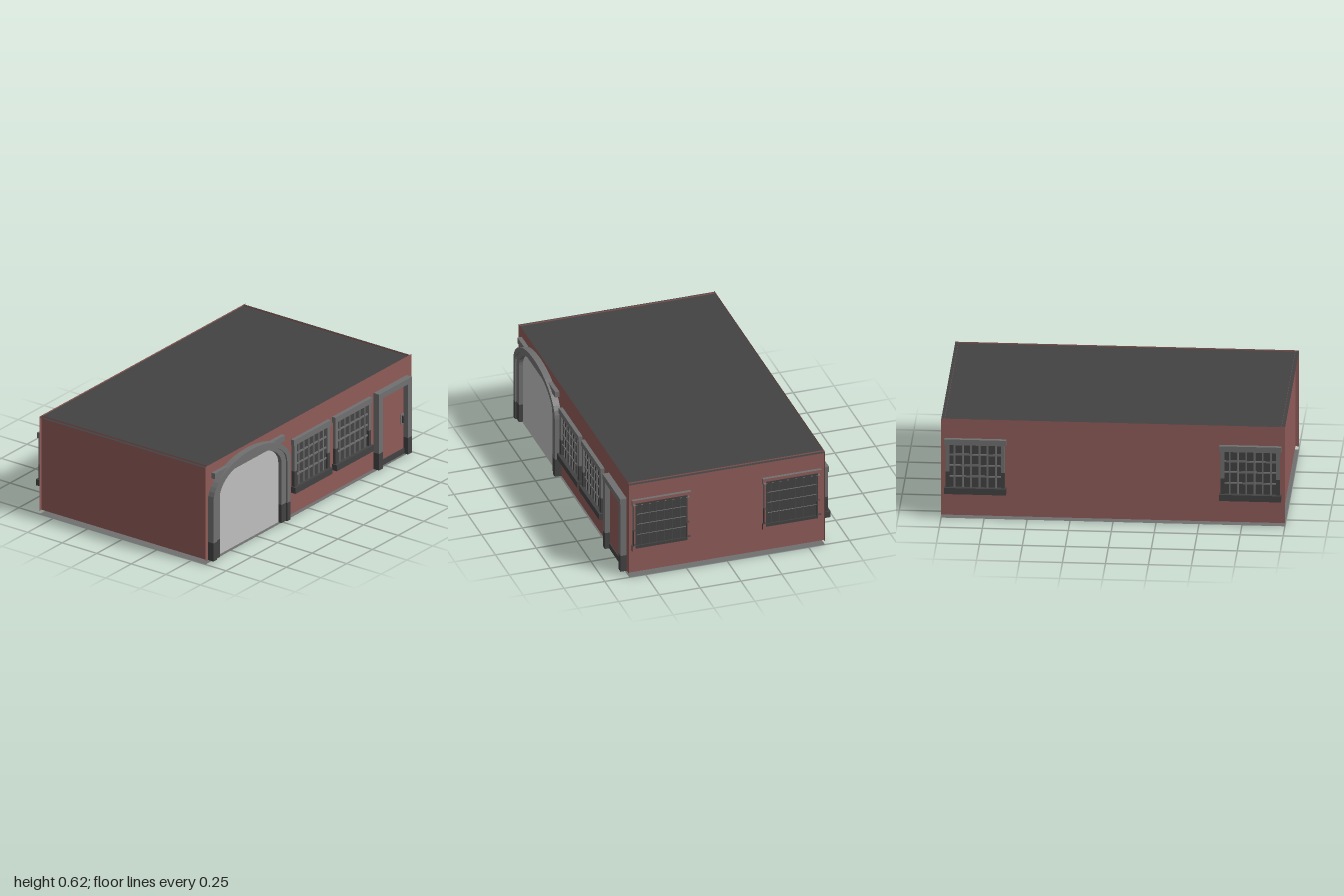
import * as THREE from 'three';

const mat = (name, color) => {
  const m = new THREE.MeshStandardMaterial({ color });
  m.name = name;
  return m;
};

export function createModel() {
  const brick = mat('brick', 0x8f5b58);
  const dark = mat('charcoal', 0x424242);
  const grey = mat('trim grey', 0x707070);
  const pale = mat('shutter grey', 0xbebebe);
  brick.side = dark.side = THREE.DoubleSide;
  // same dark colour, drawn from the outside only, for open-backed trim
  const darkTrim = mat('charcoal trim', 0x424242);
  const floorGrey = mat('floor grey', 0x707070);
  floorGrey.side = THREE.DoubleSide;

  const root = new THREE.Group();
  root.name = 'building';

  const add = (parent, name, geo, material, x = 0, y = 0, z = 0) => {
    const mesh = new THREE.Mesh(geo, material);
    mesh.name = name;
    mesh.position.set(x, y, z);
    parent.add(mesh);
    return mesh;
  };
  // box given by its x and y ranges, standing out from z0 to z1; open at the back
  const block = (parent, name, material, x0, x1, y0, y1, z0, z1) => {
    const geo = new THREE.BoxGeometry(x1 - x0, y1 - y0, z1 - z0);
    geo.setIndex(Array.from(geo.index.array).slice(0, 30));
    geo.clearGroups();
    return add(parent, name, geo, material, (x0 + x1) / 2, (y0 + y1) / 2, (z0 + z1) / 2);
  };

  // shell: floor, roof and four thin walls, the end walls set in slightly
  add(root, 'floor', new THREE.PlaneGeometry(2, 1.2), floorGrey).rotation.x = -Math.PI / 2;
  add(root, 'roof', new THREE.PlaneGeometry(2, 1.2), dark, 0, 0.612, 0).rotation.x = -Math.PI / 2;
  for (const s of [1, -1]) {
    const long = add(root, s > 0 ? 'frontWall' : 'backWall', new THREE.PlaneGeometry(2, 0.6), brick, 0, 0.32, 0.6 * s);
    long.rotation.y = s > 0 ? 0 : Math.PI;
    const end = add(root, s > 0 ? 'leftWall' : 'rightWall', new THREE.PlaneGeometry(1.2, 0.6), brick, 0.98 * s, 0.32, 0);
    end.rotation.y = s * Math.PI / 2;
  }

  // window: pane, bars, jambs, lintel and sill, facing local +z
  const addWindow = (name, x, z, turn) => {
    const w = new THREE.Group();
    w.name = name;
    w.position.set(x, 0, z);
    w.rotation.y = turn;
    add(w, 'pane', new THREE.PlaneGeometry(0.32, 0.3), dark, 0, 0.33, 0.007);
    for (let i = 0; i < 6; i++) {
      const bx = -0.12 + i * 0.048;
      block(w, 'verticalBar', grey, bx - 0.005, bx + 0.005, 0.2, 0.47, 0, 0.014);
    }
    for (const by of [0.27, 0.338, 0.405])
      block(w, 'crossBar', grey, -0.15, 0.15, by - 0.005, by + 0.005, 0, 0.013);
    for (const s of [-1, 1]) {
      const a = Math.min(s * 0.15, s * 0.172), b = Math.max(s * 0.15, s * 0.172);
      block(w, 'upperJamb', grey, a, b, 0.3, 0.468, 0, 0.02);
      block(w, 'lowerJamb', darkTrim, a, b, 0.2, 0.3, 0, 0.02);
    }
    block(w, 'lintel', grey, -0.18, 0.18, 0.468, 0.503, 0, 0.024);
    block(w, 'sill', darkTrim, -0.18, 0.18, 0.165, 0.203, 0, 0.034);
    root.add(w);
  };
  for (const x of [0, 0.4]) addWindow('frontWindow', x, 0.608, 0);
  for (const x of [-0.8, 0.8]) addWindow('backWindow', x, -0.608, Math.PI);
  // end windows are set into the wall, open backs outward
  for (const z of [-0.4, 0.4]) addWindow('sideWindow', 1, z, -Math.PI / 2);

  // entrance door
  const door = new THREE.Group();
  door.name = 'door';
  root.add(door);
  block(door, 'doorPanel', brick, 0.67, 0.92, 0.055, 0.47, 0.6, 0.606);
  block(door, 'threshold', darkTrim, 0.67, 0.92, 0.02, 0.055, 0.6, 0.612);
  for (const x of [0.635, 0.918]) {
    block(door, 'doorJamb', grey, x, x + 0.037, 0.125, 0.468, 0.6, 0.638);
    block(door, 'doorJambBase', darkTrim, x, x + 0.037, 0.02, 0.125, 0.6, 0.638);
  }
  block(door, 'doorLintel', grey, 0.635, 0.955, 0.468, 0.503, 0.6, 0.64);
  block(door, 'handlePlate', grey, 0.885, 0.912, 0.215, 0.278, 0.606, 0.612);
  block(door, 'handle', darkTrim, 0.892, 0.904, 0.225, 0.268, 0.612, 0.625);

  // garage opening: shutter, flat lintel and a two-step arched surround
  const garage = new THREE.Group();
  garage.name = 'garage';
  garage.position.x = -0.6;
  root.add(garage);
  block(garage, 'shutter', pale, -0.31, 0.31, 0.02, 0.54, 0.6, 0.606);
  block(garage, 'garageLintel', grey, -0.34, 0.34, 0.527, 0.563, 0.6, 0.626);
  const SPRING = 0.4, BASE = 0.135;
  const arc = (a, b) => Array.from({ length: 25 }, (_, i) => {
    const t = Math.PI * i / 24;
    return new THREE.Vector2(a * Math.cos(t), SPRING + b * Math.sin(t));
  });
  const archBand = (name, ao, bo, ai, bi, depth) => {
    const points = [
      new THREE.Vector2(ao, BASE), ...arc(ao, bo), new THREE.Vector2(-ao, BASE),
      new THREE.Vector2(-ai, BASE), ...arc(ai, bi).reverse(), new THREE.Vector2(ai, BASE),
    ];
    const geo = new THREE.ExtrudeGeometry(new THREE.Shape(points), { depth, bevelEnabled: false });
    add(garage, name, geo, grey, 0, 0, 0.6);
    for (const s of [-1, 1])
      block(garage, name + 'Base', darkTrim, Math.min(s * ai, s * ao), Math.max(s * ai, s * ao), 0.02, BASE, 0.6, 0.6 + depth);
  };
  archBand('outerArch', 0.375, 0.2, 0.342, 0.17, 0.04);
  archBand('innerArch', 0.342, 0.17, 0.3, 0.155, 0.03);

  return root;
}
